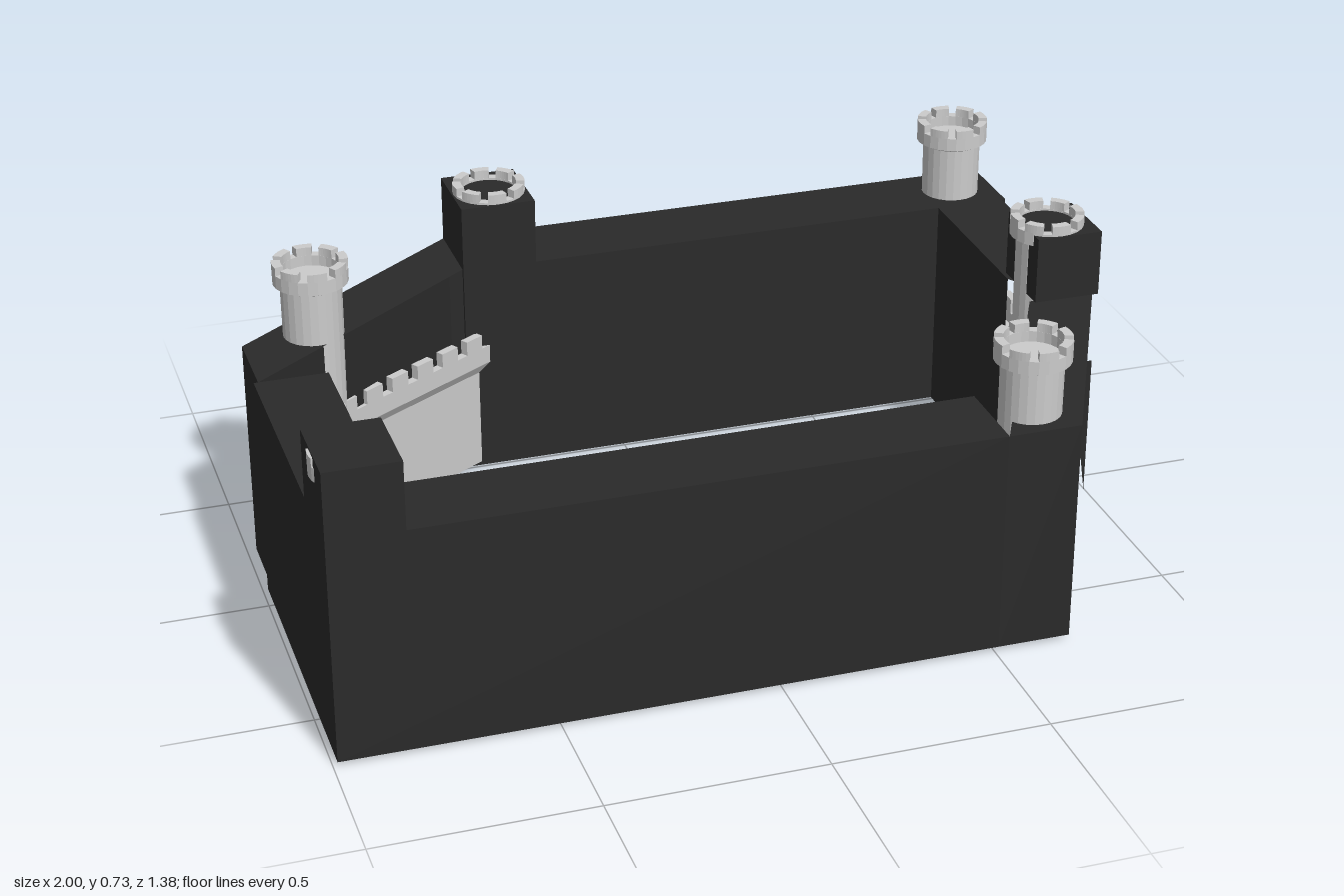
import * as THREE from 'three';

const stone = new THREE.MeshStandardMaterial({ color: 0xcccccc, flatShading: true });
const dark = new THREE.MeshStandardMaterial({ color: 0x2a2a2a, flatShading: true, side: THREE.DoubleSide });

function add(parent, geometry, material, name) {
  const m = new THREE.Mesh(geometry, material);
  m.name = name;
  parent.add(m);
  return m;
}

// Upright prism over a convex outline [x, z]; listed sides stay open
function prism(pts, y0, y1, open = [], bottom = true) {
  const v = [];
  const quad = (a, b, c, d) => v.push(...a, ...b, ...c, ...a, ...c, ...d);
  const lo = pts.map(([x, z]) => [x, y0, z]);
  const hi = pts.map(([x, z]) => [x, y1, z]);
  const n = pts.length;
  for (let i = 0; i < n; i++) {
    const j = (i + 1) % n;
    if (!open.includes(i)) quad(lo[i], lo[j], hi[j], hi[i]);
  }
  for (let i = 1; i < n - 1; i++) {
    v.push(...hi[0], ...hi[i], ...hi[i + 1]);
    if (bottom) v.push(...lo[0], ...lo[i + 1], ...lo[i]);
  }
  const g = new THREE.BufferGeometry();
  g.setAttribute('position', new THREE.Float32BufferAttribute(v, 3));
  g.computeVertexNormals();
  return g;
}

const rect = (x0, x1, z0, z1) => [[x0, z1], [x1, z1], [x1, z0], [x0, z0]];

// Round tower with a projecting, crenellated head
function makeTower(x, z, top) {
  const tower = new THREE.Group();
  tower.name = 'tower';
  tower.position.set(x, 0, z);
  const profile = [
    [0, 0.015], [0.068, 0.015], [0.071, top - 0.06], [0.087, top - 0.052],
    [0.087, top - 0.02], [0.066, top - 0.02], [0.066, top - 0.045], [0, top - 0.045],
  ].map(([r, y]) => new THREE.Vector2(r, y));
  add(tower, new THREE.LatheGeometry(profile, 24), stone, 'towerShaft');

  const count = 8, span = (Math.PI * 2 / count) * 0.68;
  const arc = new THREE.Shape();
  arc.absarc(0, 0, 0.087, -span / 2, span / 2, false);
  arc.absarc(0, 0, 0.066, span / 2, -span / 2, true);
  const merlon = new THREE.ExtrudeGeometry(arc, { depth: 0.02, bevelEnabled: false, curveSegments: 3 });
  merlon.rotateX(-Math.PI / 2);
  for (let i = 0; i < count; i++) {
    const m = add(tower, merlon, stone, 'towerMerlon');
    m.position.y = top - 0.02;
    m.rotation.y = (i / count) * Math.PI * 2;
  }
  return tower;
}

// Curtain wall with a walkway between two crenellated parapets
function makeWall([ax, az], [bx, bz], y0) {
  const wall = new THREE.Group();
  wall.name = 'curtainWall';
  wall.position.set(ax, 0, az);
  wall.rotation.y = Math.atan2(bx - ax, bz - az);
  const length = Math.hypot(bx - ax, bz - az);
  const half = [[0.045, y0], [0.045, 0.265], [0.06, 0.29], [0.06, 0.335], [0.04, 0.335], [0.04, 0.305]];
  const outline = [...half, ...half.map(([x, y]) => [-x, y]).reverse()];
  const section = new THREE.Shape(outline.map(([x, y]) => new THREE.Vector2(x, y)));
  add(wall, new THREE.ExtrudeGeometry(section, { depth: length, bevelEnabled: false }), stone, 'wallBody');

  const count = Math.round(length / 0.09), pitch = length / count;
  const merlon = new THREE.BoxGeometry(0.02, 0.035, pitch * 0.62);
  for (const side of [-0.05, 0.05])
    for (let i = 0; i < count; i++)
      add(wall, merlon, stone, 'wallMerlon').position.set(side, 0.3525, (i + 0.5) * pitch);
  return wall;
}

export function createModel() {
  const model = new THREE.Group();
  model.name = 'castleWalls';

  // Towers in order around the ring: x, z, top, then the foot of the wall that follows
  const towers = [
    [-0.91, 0.59, 0.695, 0.02], [0.6, 0.59, 0.72, 0.012], [0.89, 0, 0.725, 0.012],
    [0.89, -0.59, 0.732, 0.02], [-0.31, -0.58, 0.725, 0.02], [-0.81, -0.27, 0.725, 0],
  ];
  towers.forEach(([x, z, top, foot], i) => {
    model.add(makeTower(x, z, top));
    model.add(makeWall([x, z], towers[(i + 1) % towers.length], foot));
  });

  // Dark blocks enclosing the walls
  const Y0 = 0.01, Y1 = 0.54;
  add(model, prism(rect(-0.99, 0.51, 0.49, 0.69), Y0, Y1), dark, 'frontBlock');
  add(model, prism(rect(-0.4, 1, -0.69, -0.49), Y0, Y1), dark, 'backBlock');
  add(model, prism(rect(-0.99, -0.82, -0.06, 0.49), Y0, Y1), dark, 'sideBlock');
  add(model, prism([[-0.98, -0.06], [-0.435, -0.49], [-0.4, -0.5], [-0.4, -0.69], [-0.98, -0.25]], Y0, Y1),
    dark, 'backDiagonalBlock');

  // Blocks open on the outside so the stone wall shows
  add(model, prism([[0.51, 0.69], [0.68, 0.69], [0.98, 0.08], [0.82, 0.08]], Y0, Y1, [1, 2], false),
    dark, 'frontDiagonalBlock');
  add(model, prism([[0.82, -0.05], [0.9, 0.08], [0.99, 0.08], [0.99, -0.49], [0.82, -0.49]], Y0, Y1,
    [0, 1, 2, 3], false), dark, 'openSideBlock');

  // Triangular panel left at the end of the open block
  const panel = new THREE.Shape([[0.94, 0.36], [0.99, 0.01], [0.99, 0.36]].map(([x, y]) => new THREE.Vector2(x, y)));
  add(model, new THREE.ShapeGeometry(panel), dark, 'endPanel').position.z = 0.08;

  // Raised blocks around three of the towers
  add(model, prism(rect(-0.99, -0.82, 0.49, 0.69), Y1, 0.7), dark, 'frontTowerBlock');
  add(model, prism(rect(-0.4, -0.22, -0.69, -0.49), Y1, 0.7), dark, 'backTowerBlock');
  add(model, prism(rect(0.83, 0.99, -0.085, 0.09), Y1, 0.7), dark, 'sideTowerBlock');

  // Ground plate outside the open side
  add(model, prism(rect(0.88, 1, -0.37, -0.09), 0, 0.008), dark, 'groundPlate');
  return model;
}
